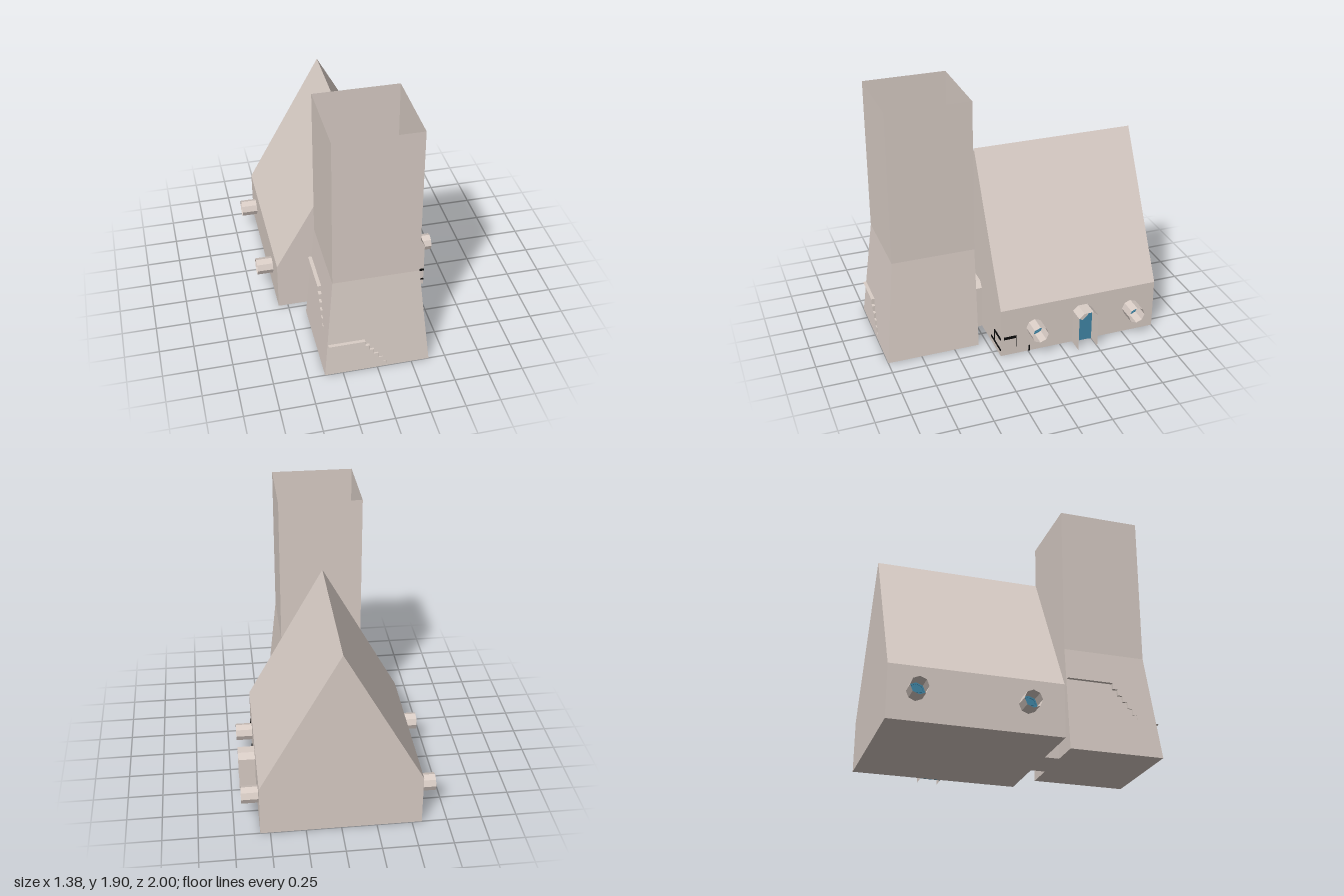
import * as THREE from 'three';

const stone = new THREE.MeshStandardMaterial({ color: 0xd9cdc6, side: THREE.DoubleSide });
stone.name = 'stone';
const blue = new THREE.MeshStandardMaterial({ color: 0x4187a8 });
blue.name = 'blue';
const black = new THREE.MeshStandardMaterial({ color: 0x0a0a0a });
black.name = 'black';

function add(parent, name, geometry, material, x = 0, y = 0, z = 0) {
  const mesh = new THREE.Mesh(geometry, material);
  mesh.name = name;
  mesh.position.set(x, y, z);
  parent.add(mesh);
  return mesh;
}

// Flat-shaded sheet skinned between successive rows of points
function sheet(rows) {
  const pos = [];
  for (let i = 0; i < rows.length - 1; i++) {
    for (let j = 0; j < rows[i].length - 1; j++) {
      const a = rows[i][j], b = rows[i][j + 1], c = rows[i + 1][j + 1], d = rows[i + 1][j];
      pos.push(...a, ...b, ...c, ...a, ...c, ...d);
    }
  }
  const g = new THREE.BufferGeometry();
  g.setAttribute('position', new THREE.Float32BufferAttribute(pos, 3));
  g.computeVertexNormals();
  return g;
}

const shapeOf = pts => new THREE.Shape(pts.map(p => new THREE.Vector2(...p)));
const extrude = (shape, depth) => new THREE.ExtrudeGeometry(shape, { depth, bevelEnabled: false, curveSegments: 8 });

function octagon(r) {
  return Array.from({ length: 8 }, (_, i) => [r * Math.cos(i * Math.PI / 4), r * Math.sin(i * Math.PI / 4)]);
}

// Rising run of treads and risers: [along, height] points
function stairPath(start, startY, end, endY, steps, landing) {
  const path = [[start, startY]];
  for (let i = 0; i < steps; i++) {
    const y = startY + (endY - startY) * (i + 1) / steps;
    path.push([start + (end - start) * i / steps, y], [start + (end - start) * (i + 1) / steps, y]);
  }
  path.push([landing, endY]);
  return path;
}

// Porthole: blue pane with cross bars inside an open octagonal sleeve
function porthole(wall, x) {
  const g = new THREE.Group();
  g.name = 'porthole';
  g.position.set(x, 0.2, 0);
  wall.add(g);
  const ring = octagon(0.063);
  ring.push(ring[0]);
  add(g, 'portholeSleeve', sheet([0, 0.12].map(z => ring.map(p => [...p, z]))), stone);
  add(g, 'portholePane', extrude(shapeOf(octagon(0.062)), 0.004), blue, 0, 0, 0.001);
  const frame = shapeOf(octagon(0.062));
  frame.holes.push(new THREE.Path(octagon(0.051).map(p => new THREE.Vector2(...p))));
  add(g, 'portholeFrame', extrude(frame, 0.008), blue, 0, 0, 0.002);
  add(g, 'portholeBar', new THREE.BoxGeometry(0.11, 0.01, 0.006), blue, 0, 0, 0.007);
  add(g, 'portholeBar', new THREE.BoxGeometry(0.01, 0.11, 0.006), blue, 0, 0, 0.007);
}

// Blue door with a heart opening, set in an open porch
function door(wall, x) {
  const g = new THREE.Group();
  g.name = 'door';
  g.position.x = x;
  wall.add(g);
  const outline = [[-0.075, 0], [-0.075, 0.268], [-0.036, 0.305], [0.036, 0.305], [0.075, 0.268], [0.075, 0]];
  add(g, 'porch', sheet([0, 0.12].map(z => outline.map(p => [...p, z]))), stone);
  const panel = shapeOf(outline.map(([a, b]) => [a * 0.98, b * 0.99]));
  const heart = new THREE.Path();
  heart.moveTo(0, 0.172);
  heart.lineTo(-0.042, 0.21);
  heart.bezierCurveTo(-0.06, 0.25, -0.015, 0.262, 0, 0.232);
  heart.bezierCurveTo(0.015, 0.262, 0.06, 0.25, 0.042, 0.21);
  heart.lineTo(0, 0.172);
  panel.holes.push(heart);
  add(g, 'doorPanel', extrude(panel, 0.006), blue, 0, 0, 0.001);
  for (const s of [-1, 1]) {
    add(g, 'doorStile', new THREE.BoxGeometry(0.014, 0.262, 0.008), blue, s * 0.066, 0.132, 0.008);
    add(g, 'doorBatten', new THREE.BoxGeometry(0.008, 0.04, 0.008), blue, s * 0.02, 0.28, 0.008);
  }
}

export function createModel() {
  const model = new THREE.Group();
  model.name = 'houseWithTower';

  // Gabled house
  const gable = shapeOf([[-0.57, 0], [0.57, 0], [0.57, 0.38], [0, 1.41], [-0.57, 0.38]]);
  add(model, 'house', extrude(gable, 1.21), stone, 0, 0, -1);

  // Side walls: local x runs along the wall, local z points outward
  for (const side of [1, -1]) {
    const wall = new THREE.Group();
    wall.name = side > 0 ? 'leftWallDetails' : 'rightWallDetails';
    wall.rotation.y = side * Math.PI / 2;
    wall.position.x = side * 0.57;
    model.add(wall);
    for (const z of [-0.81, -0.05]) porthole(wall, -side * z);
    if (side > 0) door(wall, 0.425);
  }

  // Covered passage between house and tower
  const passage = shapeOf([[-0.15, 0], [0.15, 0], [0.15, 0.335], [0.11, 0.38], [-0.11, 0.38], [-0.15, 0.335]]);
  add(model, 'passage', extrude(passage, 0.11), stone, 0, 0, 0.21);

  // Hollow tower: flared base, straight shaft, open top
  const ring = (w, front, y) => [[-w, y, 0.315], [-w, y, front], [w, y, front], [w, y, 0.315], [-w, y, 0.315]];
  add(model, 'towerWalls', sheet([ring(0.38, 1, 0), ring(0.305, 0.92, 0.77), ring(0.305, 0.92, 1.9)]), stone);
  add(model, 'towerFloor', new THREE.BoxGeometry(0.758, 0.004, 0.683), stone, 0, 0.002, 0.657);

  // Stairs winding up the inside, their edges cutting through the flared walls
  const alongX = (path, z0, z1) => sheet([z0, z1].map(z => path.map(([x, y]) => [x, y, z])));
  const alongZ = (path, x0, x1) => sheet([x0, x1].map(x => path.map(([z, y]) => [x, y, z])));
  add(model, 'frontStairs', alongX(stairPath(0.07, 0.004, -0.12, 0.26, 6, -0.35), 0.83, 0.998), stone);
  add(model, 'sideStairs', alongZ(stairPath(0.83, 0.26, 0.62, 0.53, 6, 0.32), -0.355, -0.18), stone);
  add(model, 'backStairs', alongX(stairPath(-0.18, 0.53, 0.01, 0.77, 6, 0.24), 0.32, 0.49), stone);

  // Black rail pieces around the front corner of the house
  const rails = [
    ['lowerRail', 0.2, 0.014, 0.006, 0.47, 0.053, 0.212],
    ['upperRail', 0.13, 0.018, 0.006, 0.505, 0.146, 0.212],
    ['railPost', 0.006, 0.09, 0.006, 0.44, 0.1, 0.212],
    ['sideRail', 0.006, 0.02, 0.095, 0.572, 0.145, 0.138],
    ['sidePost', 0.006, 0.08, 0.003, 0.571, 0.1, 0.092],
    ['lowPost', 0.006, 0.048, 0.01, 0.572, 0.024, -0.008],
  ];
  for (const [name, w, h, d, x, y, z] of rails) add(model, name, new THREE.BoxGeometry(w, h, d), black, x, y, z);

  return model;
}
